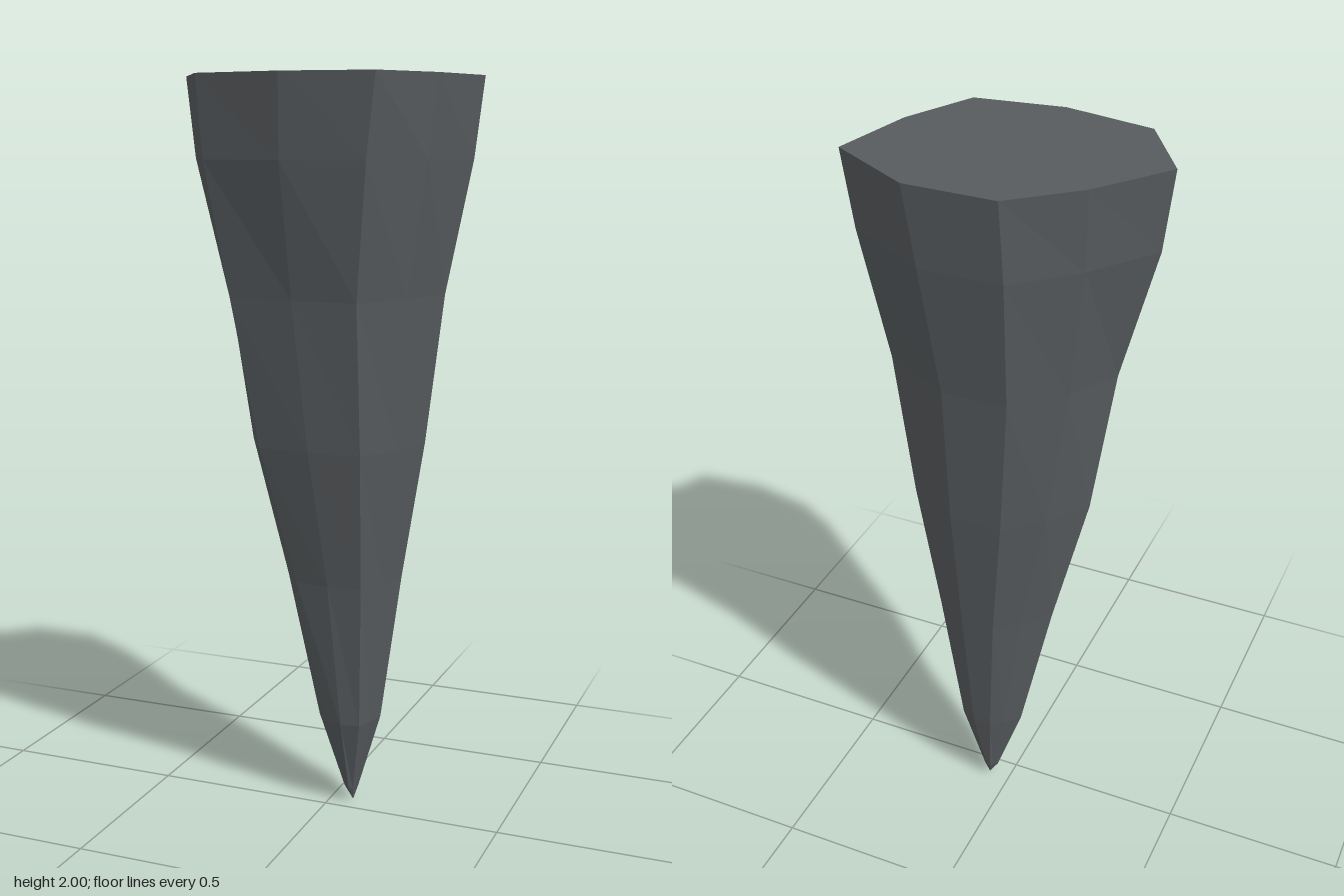
import * as THREE from 'three';

// Outline of the top face, going round from +x towards +z
const outline = [
  [0.378, -0.16], [0.323, 0.065], [0.227, 0.252], [-0.01, 0.284], [-0.253, 0.238],
  [-0.38, 0.034], [-0.24, -0.15], [-0.083, -0.285], [0.155, -0.285],
];

// Where the main ridges of the outline sit on each level, from the top down
const levels = [
  { y: 2.0, x: [-0.38, -0.253, 0.227, 0.378], z: [-0.285, -0.16, 0.252, 0.284] },
  { y: 1.79, x: [-0.355, -0.243, 0.198, 0.357], z: [-0.268, -0.143, 0.236, 0.26] },
  { y: 1.44, x: [-0.265, -0.197, 0.155, 0.293], z: [-0.222, -0.115, 0.182, 0.188] },
  { y: 1.04, x: [-0.21, -0.14, 0.147, 0.245], z: [-0.19, -0.11, 0.13, 0.139] },
  { y: 0.66, x: [-0.12, -0.062, 0.126, 0.186], z: [-0.151, -0.1, 0.062, 0.07] },
  { y: 0.25, x: [-0.033, 0.0, 0.104, 0.133], z: [-0.108, -0.084, 0.01, 0.02] },
  { y: 0.04, x: [0.038, 0.048, 0.068, 0.075], z: [-0.072, -0.064, -0.038, -0.031] },
];
const tip = [0.063, 0, -0.055];

// Piecewise linear mapping from one set of stops to another
function remap(v, from, to) {
  let i = 0;
  while (i < from.length - 2 && v > from[i + 1]) i++;
  return THREE.MathUtils.mapLinear(v, from[i], from[i + 1], to[i], to[i + 1]);
}

function spikeGeometry() {
  const top = levels[0];
  const rings = levels.map((l) => outline.map(([x, z]) =>
    [remap(x, top.x, l.x), l.y, remap(z, top.z, l.z)]));
  const n = outline.length;
  const positions = [];
  const tri = (...corners) => corners.forEach((p) => positions.push(...p));

  for (let i = 0; i < n; i++) {
    const j = (i + 1) % n;
    // Flat top
    tri([0, top.y, 0], rings[0][j], rings[0][i]);
    // Faceted sides
    for (let k = 0; k < rings.length - 1; k++) {
      const upper = rings[k], lower = rings[k + 1];
      tri(lower[i], upper[i], upper[j]);
      tri(lower[i], upper[j], lower[j]);
    }
    // Point
    const last = rings[rings.length - 1];
    tri(tip, last[i], last[j]);
  }

  const geometry = new THREE.BufferGeometry();
  geometry.setAttribute('position', new THREE.Float32BufferAttribute(positions, 3));
  geometry.computeVertexNormals();
  return geometry;
}

export function createModel() {
  const stone = new THREE.MeshStandardMaterial({ color: 0x575b5e, flatShading: true });
  stone.name = 'grey stone';

  const spike = new THREE.Mesh(spikeGeometry(), stone);
  spike.name = 'stalactite';

  const model = new THREE.Group();
  model.name = 'hanging rock spike';
  model.add(spike);
  return model;
}
